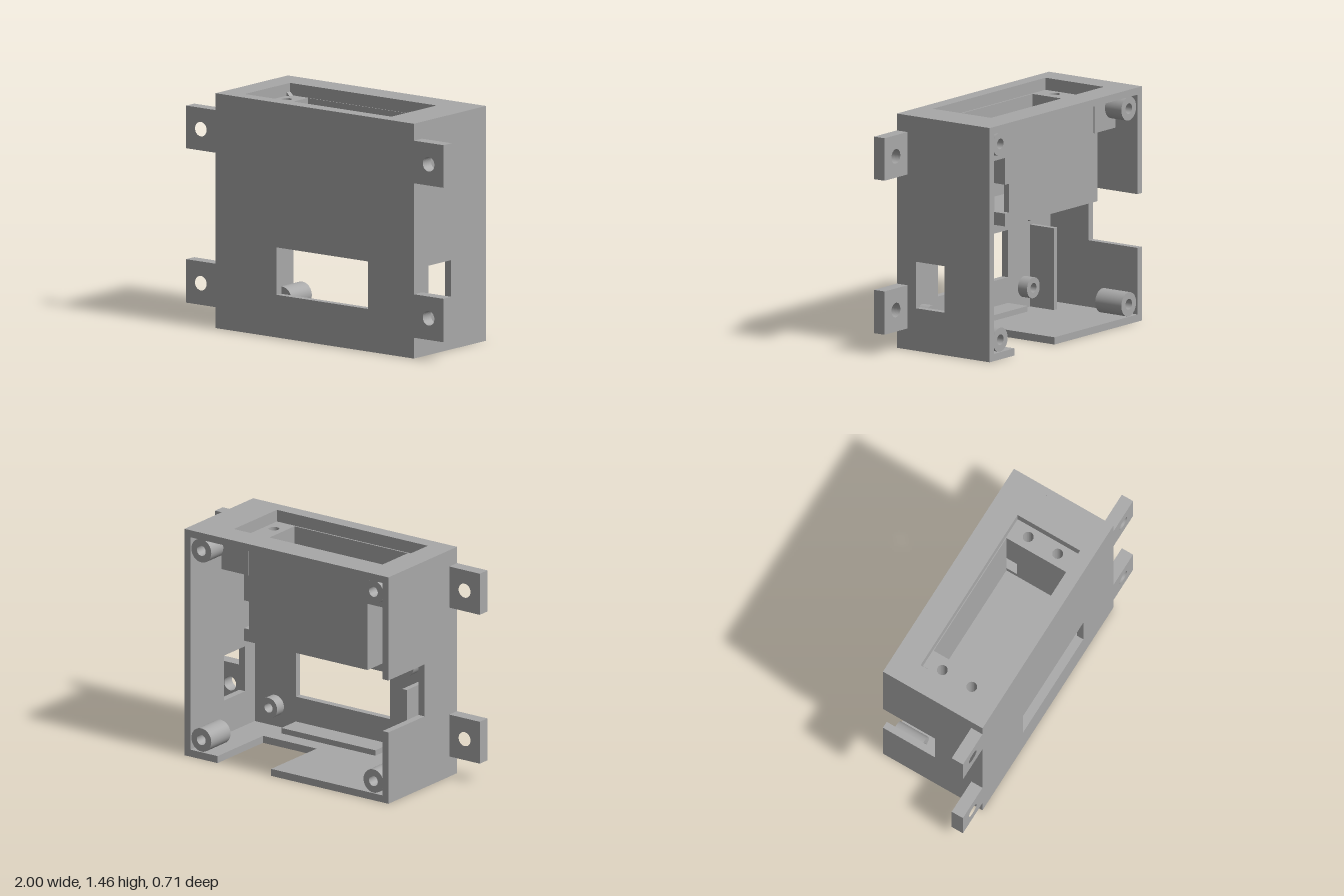
import * as THREE from 'three';

const W = 0.77, H = 1.46, D = 0.355, T = 0.045; // half width, height, half depth, wall
const IN = W - T, ZF = D - T;                   // inner side and inner front faces

const rect = (a0, b0, a1, b1) => [[a0, b0], [a1, b0], [a1, b1], [a0, b1]];

export function createModel() {
  const model = new THREE.Group();
  model.name = 'enclosure';
  const grey = new THREE.MeshStandardMaterial({ color: 0xa8a8a8 });
  grey.name = 'grey plastic';

  // Flat panel from an outline, with polygon holes and round holes [a, b, r].
  // axis z: outline is (x, y); axis y: (x, z); axis x: (z, y). from/to lie along the axis.
  function panel(name, axis, from, to, outline, holes = [], rounds = []) {
    const shape = new THREE.Shape(outline.map(p => new THREE.Vector2(...p)));
    for (const h of holes) shape.holes.push(new THREE.Path(h.map(p => new THREE.Vector2(...p))));
    for (const [a, b, r] of rounds) shape.holes.push(new THREE.Path().absarc(a, b, r, 0, Math.PI * 2, true));
    const geo = new THREE.ExtrudeGeometry(shape, { depth: to - from, bevelEnabled: false, curveSegments: 24 });
    if (axis === 'z') geo.translate(0, 0, from);
    if (axis === 'y') geo.rotateX(Math.PI / 2).translate(0, to, 0);
    if (axis === 'x') geo.rotateY(-Math.PI / 2).translate(to, 0, 0);
    const mesh = new THREE.Mesh(geo, grey);
    mesh.name = name;
    model.add(mesh);
  }

  // Hollow screw post along z
  function post(name, x, y, z0, z1, r, hole) {
    const profile = [[hole, 0], [r, 0], [r, 0], [r, z1 - z0], [r, z1 - z0], [hole, z1 - z0], [hole, z1 - z0], [hole, 0]];
    const group = new THREE.Group();
    group.name = name;
    // each profile segment is its own lathe, so the rims stay sharp
    for (let i = 0; i < profile.length; i += 2) {
      const pts = [profile[i], profile[i + 1]].map(p => new THREE.Vector2(...p));
      const mesh = new THREE.Mesh(new THREE.LatheGeometry(pts, 32).rotateX(Math.PI / 2), grey);
      mesh.name = name + 'Surface';
      group.add(mesh);
    }
    group.position.set(x, y, z0);
    model.add(group);
  }

  // Outer shell, open at the back
  panel('frontWall', 'z', ZF, D, rect(-W, 0, W, H), [rect(-0.295, 0.265, 0.415, 0.56)]);
  panel('leftWall', 'x', IN, W, rect(-D, 0, ZF, H), [rect(-0.01, 0.265, 0.21, 0.555)]);
  panel('rightWall', 'x', -W, -IN, [
    [-D, 0], [ZF, 0], [ZF, H], [-D, H], [-D, 0.795], [0.018, 0.795], [0.018, 0.46], [-D, 0.46]]);
  panel('floor', 'y', 0, T, [
    [-IN, -D], [0.115, -D], [0.115, 0.115], [0.52, 0.115], [0.52, -D], [IN, -D], [IN, ZF], [-IN, ZF]]);
  const recess = rect(-0.615, -0.18, 0.525, 0.265);
  panel('topWall', 'y', H - T, H, rect(-IN, -D, IN, ZF), [recess]);

  // Mounting ears
  for (const s of [-1, 1]) {
    for (const [y0, y1] of [[0.13, 0.4], [1.09, 1.355]]) {
      panel('mountingEar', 'z', 0.275, D, rect(s * W, y0, s, y1), [], [[s * 0.885, (y0 + y1) / 2, 0.045]]);
    }
  }

  // Sunken frame and drilled screw blocks around the top compartment
  const seat = 1.385;
  panel('recessFrame', 'y', seat, H - T, rect(-0.68, -0.22, 0.59, ZF), [recess]);
  for (const [x0, x1, hx] of [[-0.68, -0.47, -0.55], [0.385, 0.59, 0.46]]) {
    panel('screwBlock', 'y', 1.2, seat, rect(x0, -0.22, x1, ZF), [],
      [[hx, -0.065, 0.033], [hx, 0.145, 0.033]]);
  }

  // Compartment hanging under the top opening
  const cy = 0.77, cz = -0.213;
  panel('compartmentBack', 'z', cz, -0.175, rect(-0.47, cy, 0.385, seat));
  panel('compartmentFront', 'z', 0.255, ZF, rect(-0.47, cy, 0.385, seat));
  panel('compartmentBottom', 'y', cy, cy + 0.04, rect(-0.47, -0.175, 0.385, 0.255));
  panel('compartmentRightSide', 'x', -0.51, -0.47, rect(cz, cy, ZF, 1.2));
  panel('compartmentLeftSide', 'x', 0.385, 0.425, [
    [cz, cy], [ZF, cy], [ZF, 1.2], [cz, 1.2], [cz, 1.03], [-0.1, 1.03], [-0.1, 0.85], [cz, 0.85]]);

  // Ledges above and below the front window, and the rib beside it
  for (const y of [0.07, 0.715]) panel('windowLedge', 'y', y, y + 0.035, rect(-0.295, 0.16, 0.415, ZF));
  panel('sideRib', 'x', -0.555, -0.52, rect(0.13, T, ZF, 0.555));

  // Screw posts: lid corners and display mounts
  for (const x of [-0.65, 0.65]) {
    for (const y of [0.12, 1.34]) post('lidPost', x, y, -0.345, -0.145, 0.075, 0.033);
  }
  for (const x of [-0.46, 0.57]) {
    for (const y of [0.18, 0.66]) post('displayPost', x, y, 0.24, ZF, 0.065, 0.03);
  }

  return model;
}
